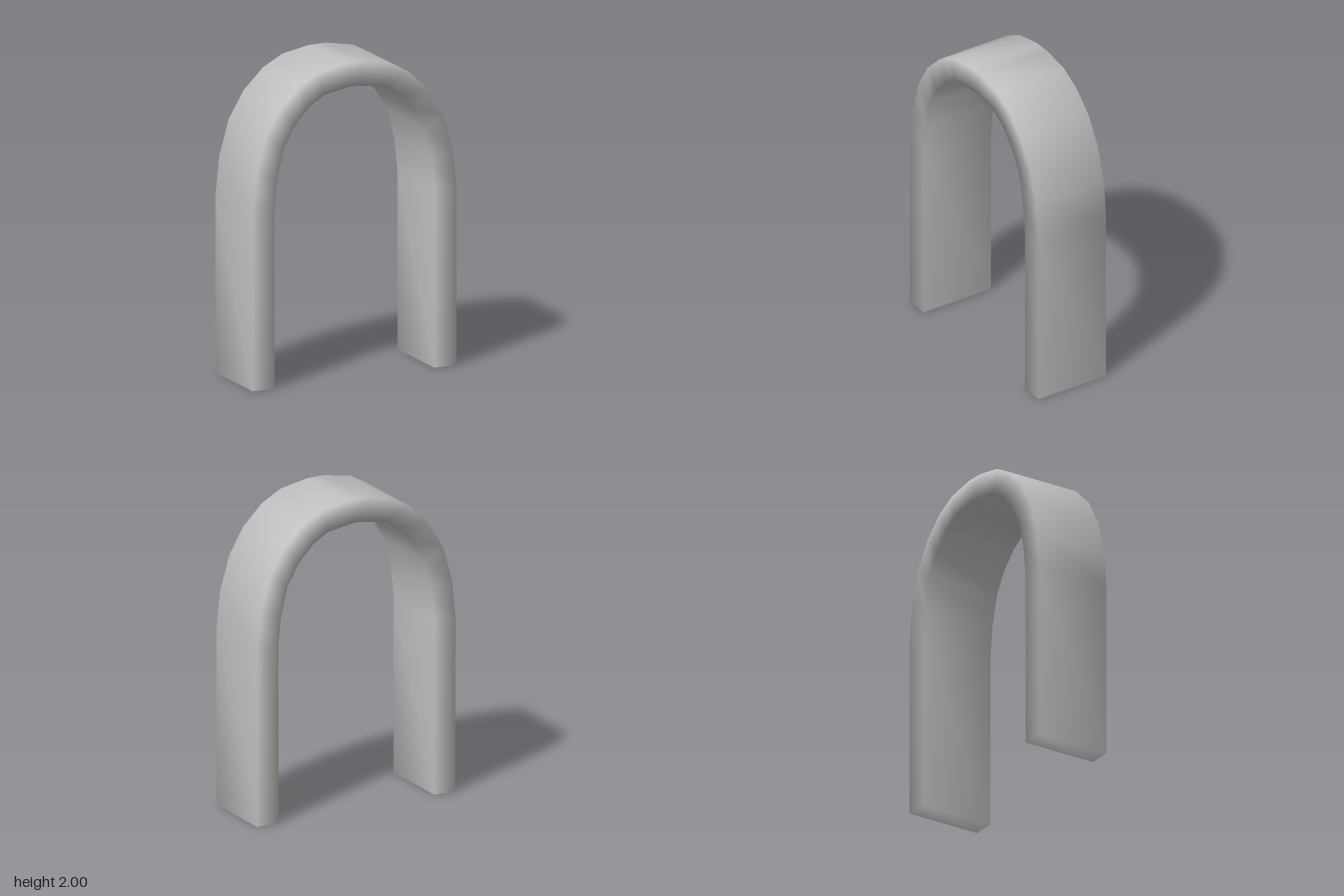
import * as THREE from 'three';

// Half of the arch, foot to crown: outer x, outer y, inner x, inner y
const HALF = [
  [0.70, 0.00, 0.55, 0.00],
  [0.70, 1.13, 0.55, 1.13],
  [0.675, 1.37, 0.53, 1.33],
  [0.61, 1.595, 0.483, 1.52],
  [0.51, 1.765, 0.403, 1.655],
  [0.375, 1.895, 0.303, 1.76],
  [0.245, 1.965, 0.203, 1.82],
  [0.06, 2.00, 0.02, 1.85],
];
const DEPTH = 0.25;

// Sweeps a four-cornered section along the arch, sharing corners for soft shading
function archGeometry() {
  const mirrored = HALF.map(([ox, oy, ix, iy]) => [-ox, oy, -ix, iy]).reverse();
  const stations = [...HALF, [0, 2, 0, 1.85], ...mirrored];
  const positions = [];
  const index = [];
  const quad = (a, b, c, d) => index.push(a, b, c, a, c, d);

  for (const [ox, oy, ix, iy] of stations) {
    positions.push(ox, oy, DEPTH, ix, iy, DEPTH, ix, iy, -DEPTH, ox, oy, -DEPTH);
  }
  for (let i = 0; i < stations.length - 1; i++) {
    for (let j = 0; j < 4; j++) {
      const k = (j + 1) % 4;
      quad(i * 4 + j, i * 4 + 4 + j, i * 4 + 4 + k, i * 4 + k);
    }
  }

  // Undersides of the two feet
  const last = (stations.length - 1) * 4;
  quad(0, 1, 2, 3);
  quad(last + 3, last + 2, last + 1, last);

  const geometry = new THREE.BufferGeometry();
  geometry.setAttribute('position', new THREE.Float32BufferAttribute(positions, 3));
  geometry.setIndex(index);
  geometry.computeVertexNormals();
  return geometry;
}

export function createModel() {
  const group = new THREE.Group();
  group.name = 'archway';
  const grey = new THREE.MeshStandardMaterial({ color: 0xc0c0c0 });
  grey.name = 'light grey';
  const arch = new THREE.Mesh(archGeometry(), grey);
  arch.name = 'arch';
  group.add(arch);
  return group;
}
